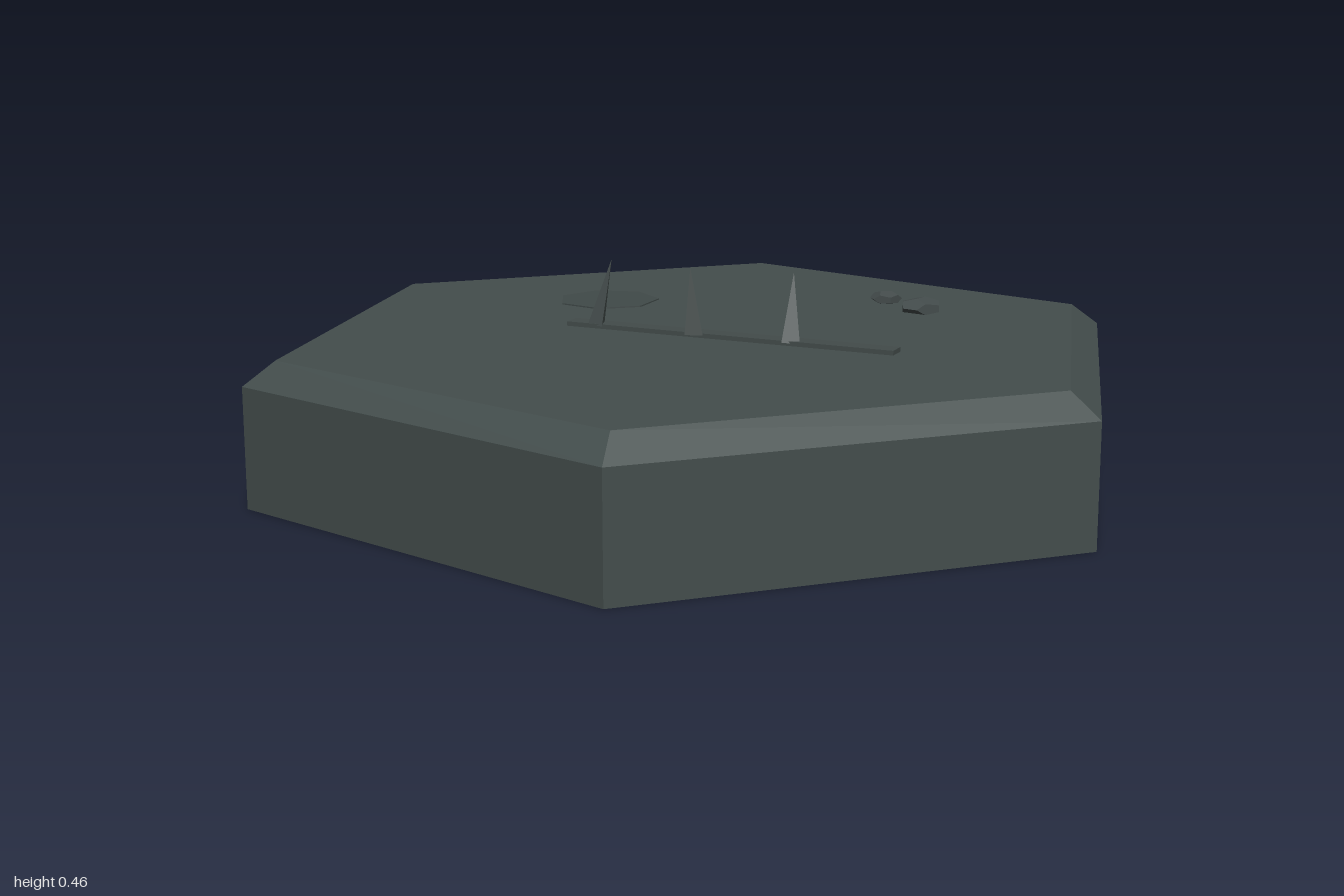
import * as THREE from 'three';

export function createModel() {
  const model = new THREE.Group();
  model.name = 'hexTile';

  const mat = (name, color) => {
    const m = new THREE.MeshStandardMaterial({ color, flatShading: true });
    m.name = name;
    return m;
  };
  const slate = mat('slate', 0x434d4c);
  const iron = mat('iron', 0x424b4a);
  const stone = mat('stone', 0x434b4b);
  const stain = mat('stain', 0x404948);

  const add = (name, geometry, material, x, y, z) => {
    const mesh = new THREE.Mesh(geometry, material);
    mesh.name = name;
    mesh.position.set(x, y, z);
    model.add(mesh);
    return mesh;
  };

  // Hexagonal slab with a bevelled top rim
  const profile = [[0, 0], [1, 0], [1, 0.26], [0.93, 0.31], [0, 0.31]];
  const slab = new THREE.LatheGeometry(profile.map(([r, y]) => new THREE.Vector2(r, y)), 6);
  add('slab', slab.toNonIndexed(), slate, 0, 0, 0);

  // Thin flat patch on the surface
  add('groundPatch', new THREE.CylinderGeometry(0.12, 0.12, 0.004, 7), stain, -0.28, 0.311, -0.33);

  // Rail lying at a slant
  const rail = add('rail', new THREE.BoxGeometry(0.77, 0.012, 0.045), iron, 0.075, 0.314, 0.075);
  rail.rotation.y = -0.262;

  // Three-sided spikes: base x, base z, tip x, tip z, turn
  const spikes = [
    [-0.23, 0.004, -0.203, -0.02, 0.6],
    [0, 0.075, -0.01, 0.07, Math.PI],
    [0.218, 0.125, 0.218, 0.09, Math.PI],
  ];
  for (const [x, z, tipX, tipZ, turn] of spikes) {
    const height = 0.145;
    const cone = new THREE.ConeGeometry(0.023, height, 3);
    cone.rotateY(turn).translate(0, height / 2, 0);
    // Shear the cone so that its tip leans while the base stays level
    const p = cone.attributes.position;
    for (let i = 0; i < p.count; i++) {
      const t = p.getY(i) / height;
      p.setX(i, p.getX(i) + t * (tipX - x));
      p.setZ(i, p.getZ(i) + t * (tipZ - z));
    }
    cone.computeVertexNormals();
    add('spike', cone, iron, x, 0.316, z);
  }

  // Flattened stones
  for (const [x, y, z, r, h, turn] of [
    [0.372, 0.32, -0.42, 0.038, 0.017, 0.4],
    [0.462, 0.322, -0.31, 0.052, 0.022, 1.1],
  ]) {
    const rock = add('stone', new THREE.DodecahedronGeometry(1, 0), stone, x, y, z);
    rock.scale.set(r, h, r);
    rock.rotation.y = turn;
  }

  return model;
}
